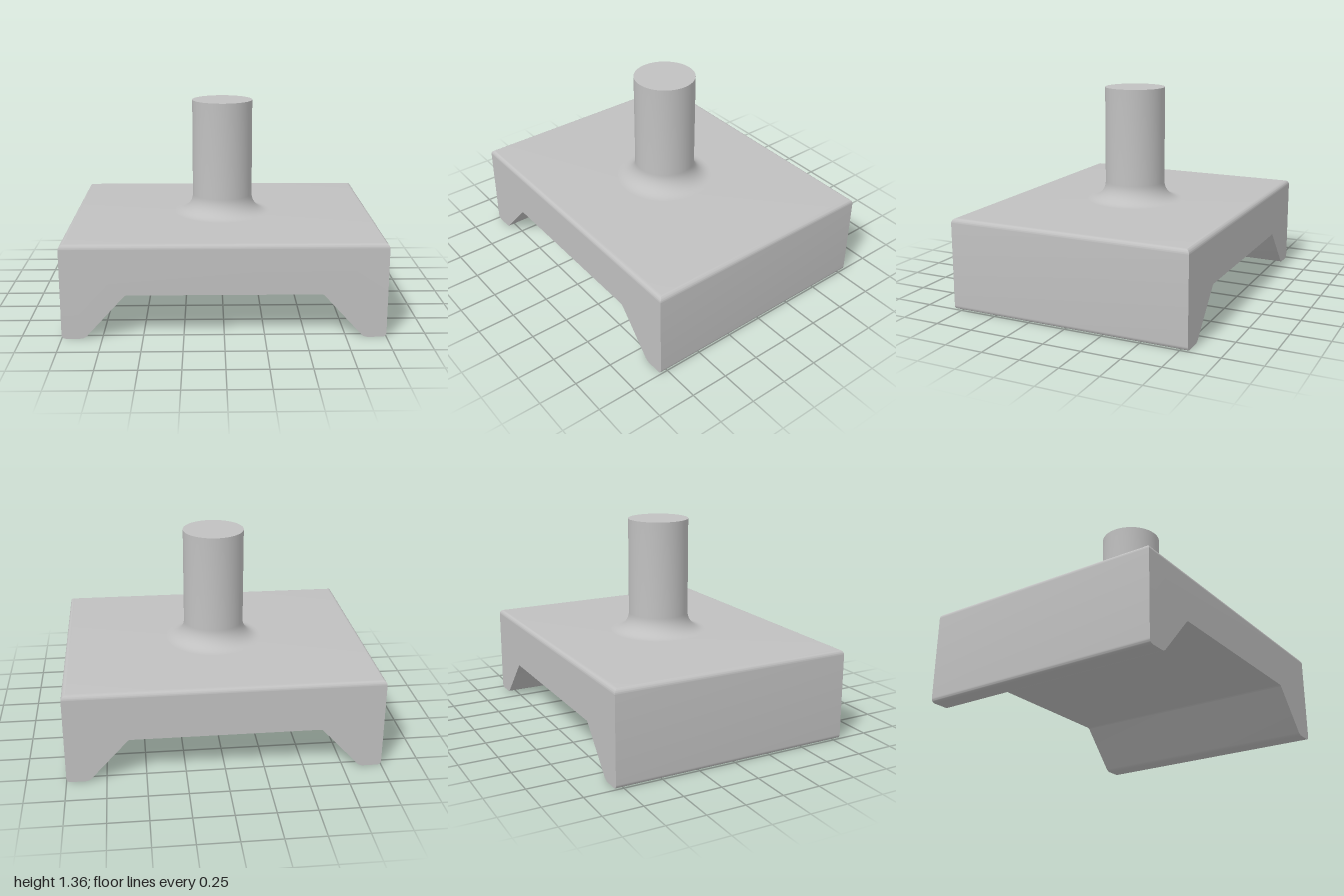
import * as THREE from 'three';
import { mergeGeometries, toCreasedNormals } from 'three/addons/utils/BufferGeometryUtils.js';

const HALF_X = 1, HALF_Z = 0.8, TOP = 0.6, ROUND = 0.03;
const CREASE = 0.5;

// Move from p to q, then round the corner at p by the given tangent length
function roundedProfile(corners) {
  const shape = new THREE.Shape();
  const count = corners.length;
  corners.forEach(([x, y, t], i) => {
    const p = new THREE.Vector2(x, y);
    const toward = ([qx, qy]) => new THREE.Vector2(qx, qy).sub(p).setLength(t).add(p);
    const a = t ? toward(corners[(i + count - 1) % count]) : p;
    if (i === 0) shape.moveTo(a.x, a.y);
    else shape.lineTo(a.x, a.y);
    if (t) {
      const b = toward(corners[(i + 1) % count]);
      shape.quadraticCurveTo(x, y, b.x, b.y);
    }
  });
  return shape;
}

// Bridge-shaped lower body, left open where the rounded top sits
function lowerBody() {
  const y = TOP - ROUND;
  const shape = roundedProfile([
    [HALF_X, y, 0], [-HALF_X, y, 0],
    [-HALF_X, 0, 0.03], [-0.86, 0, 0.025], [-0.605, 0.28, 0.012],
    [0.605, 0.28, 0.012], [0.86, 0, 0.025], [HALF_X, 0, 0.03],
  ]);
  const geo = new THREE.ExtrudeGeometry(shape, { depth: 2 * HALF_Z, bevelEnabled: false, curveSegments: 8 });
  geo.translate(0, 0, -HALF_Z);
  const src = geo.attributes.position.array, kept = [];
  for (let i = 0; i < src.length; i += 9) {
    const isTop = [1, 4, 7].every((k) => src[i + k] > y - 1e-4);
    if (!isTop) kept.push(...src.slice(i, i + 9));
  }
  return new THREE.BufferGeometry().setAttribute('position', new THREE.Float32BufferAttribute(kept, 3));
}

// Rounded top with mitred corners, from stacked rectangles
function roundedTop(steps = 10) {
  const pos = [], index = [];
  for (let k = 0; k <= steps; k++) {
    const a = (k / steps) * Math.PI / 2;
    const inset = ROUND * (1 - Math.cos(a)), y = TOP - ROUND + ROUND * Math.sin(a);
    for (const [sx, sz] of [[1, 1], [1, -1], [-1, -1], [-1, 1]]) {
      pos.push(sx * (HALF_X - inset), y, sz * (HALF_Z - inset));
    }
    if (k === steps) continue;
    for (let i = 0; i < 4; i++) {
      const p = k * 4 + i, q = k * 4 + (i + 1) % 4;
      index.push(p, q, q + 4, p, q + 4, p + 4);
    }
  }
  const t = steps * 4;
  index.push(t, t + 1, t + 2, t, t + 2, t + 3);
  const geo = new THREE.BufferGeometry();
  geo.setAttribute('position', new THREE.Float32BufferAttribute(pos, 3));
  geo.setIndex(index);
  return geo.toNonIndexed();
}

// Round stem flaring into the plate
function stemGeometry() {
  const radius = 0.2, flare = 0.12, points = [];
  for (let k = 0; k <= 12; k++) {
    const a = (k / 12) * Math.PI / 2;
    points.push(new THREE.Vector2(radius + flare * (1 - Math.sin(a)), TOP + flare * (1 - Math.cos(a))));
  }
  points.push(new THREE.Vector2(radius, 1.36), new THREE.Vector2(0, 1.36));
  return toCreasedNormals(new THREE.LatheGeometry(points, 64), CREASE);
}

export function createModel() {
  const grey = new THREE.MeshStandardMaterial({ color: 0xc0c0c0 });
  grey.name = 'grey';

  const base = new THREE.Mesh(toCreasedNormals(mergeGeometries([lowerBody(), roundedTop()]), CREASE), grey);
  base.name = 'base';

  const stem = new THREE.Mesh(stemGeometry(), grey);
  stem.name = 'stem';

  const model = new THREE.Group();
  model.name = 'stemmedBase';
  model.add(base, stem);
  return model;
}
